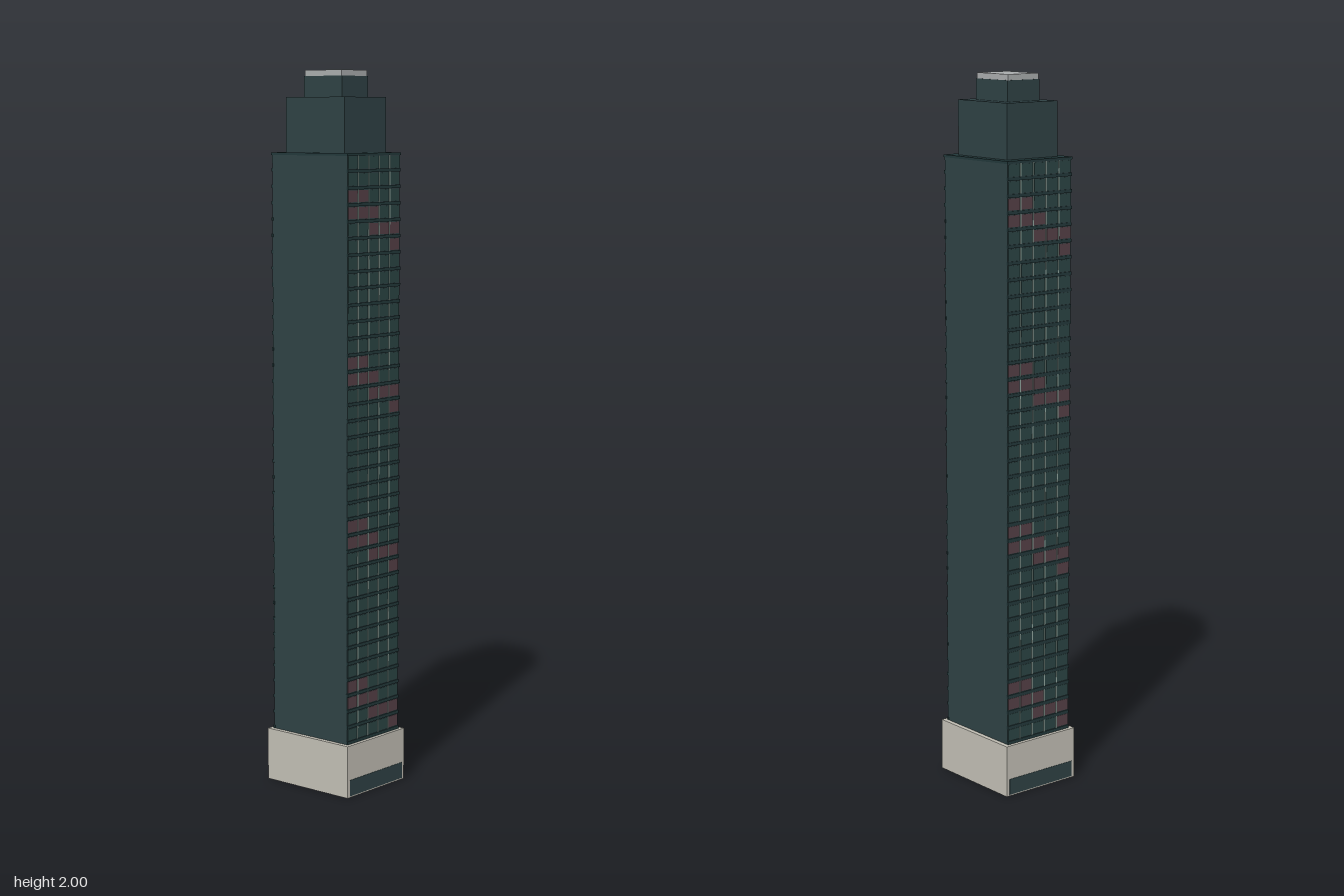
import * as THREE from 'three';

const mat = (color) => new THREE.MeshStandardMaterial({ color });
const STONE = mat(0xc0bdb3), GLASS = mat(0x2e4144), DARK = mat(0x22383a),
  WINDOW = mat(0x2a4443), LIT = mat(0x553f46), METAL = mat(0xa8abac), MULLION = mat(0x8fa39c);

// Box with its base at y, centred on x and z
function block(name, w, y, h, d, material, x = 0, z = 0) {
  const mesh = new THREE.Mesh(new THREE.BoxGeometry(w, h, d), material);
  mesh.name = name;
  mesh.position.set(x, y + h / 2, z);
  return mesh;
}

const BASE = 0.148, ROOF = 1.77, FLOORS = 36, BAYS = 5;
const WIDTH = 0.224, DEPTH = 0.27;

// One glazed face, looking along +z
function createFacade() {
  const facade = new THREE.Group();
  facade.name = 'facade';
  const step = (ROOF - BASE) / FLOORS, bay = WIDTH / BAYS, z = DEPTH / 2;

  for (let f = 0; f < FLOORS; f++) {
    const y = BASE + f * step;
    // Glass panes, with diagonal clusters of tinted ones
    for (let c = 0; c < BAYS; c++) {
      const k = (f * 5 + c * 3) % 50;
      const lit = k >= 10 && k <= 18;
      facade.add(block('window', bay * 0.88, y + step * 0.25, step * 0.7, 0.002,
        lit ? LIT : WINDOW, (c - (BAYS - 1) / 2) * bay, z));
    }
    // Floor band
    facade.add(block('floorBand', WIDTH + 0.001, y, step * 0.2, 0.006, DARK, 0, z));
  }
  // Vertical mullions between the bays
  for (let c = 1; c < BAYS; c++) {
    facade.add(block('mullion', 0.003, BASE, ROOF - BASE, 0.004, MULLION, (c - BAYS / 2) * bay, z));
  }
  // Dark entrance band at street level
  facade.add(block('entrance', 0.23, 0.004, 0.046, 0.002, GLASS, 0, 0.148));
  return facade;
}

export function createModel() {
  const tower = new THREE.Group();
  tower.name = 'tower';

  // Podium and main shaft
  tower.add(block('podium', 0.25, 0, BASE, 0.296, STONE));
  tower.add(block('shaft', WIDTH, BASE, ROOF - BASE, DEPTH, GLASS));
  tower.add(block('cornice', 0.228, ROOF, 0.007, 0.275, DARK));

  // Stepped crown
  tower.add(block('lowerCrown', 0.176, ROOF + 0.007, 0.15, 0.21, GLASS));
  tower.add(block('upperCrown', 0.112, 1.927, 0.057, 0.136, GLASS));
  tower.add(block('roofCap', 0.108, 1.984, 0.016, 0.132, METAL));

  // Glazed front and back
  for (const angle of [0, Math.PI]) {
    const facade = createFacade();
    facade.name = angle ? 'backFacade' : 'frontFacade';
    facade.rotation.y = angle;
    tower.add(facade);
  }
  return tower;
}
